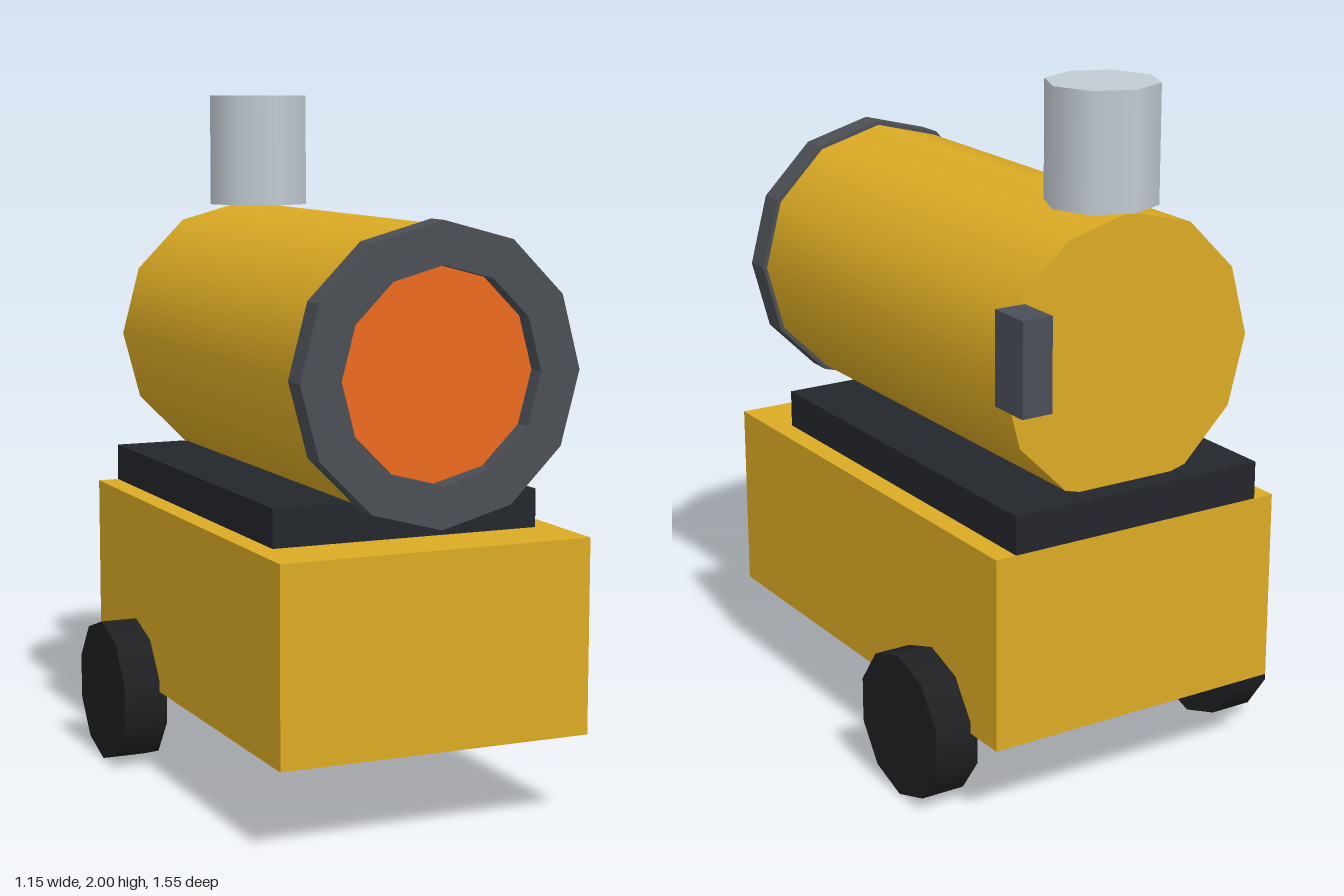
import * as THREE from 'three';

const paint = (color, flatShading = false) => new THREE.MeshStandardMaterial({ color, flatShading });

export function createModel() {
  const model = new THREE.Group();
  const yellow = paint(0xdcab24);
  const rubber = paint(0x1f2022);

  const add = (name, geometry, material, x, y, z) => {
    const mesh = new THREE.Mesh(geometry, material);
    mesh.name = name;
    mesh.position.set(x, y, z);
    model.add(mesh);
    return mesh;
  };

  // Fuel tank base and the saddle plate on top of it
  add('base', new THREE.BoxGeometry(0.926, 0.557, 1.467), yellow, 0, 0.5225, 0.0275);
  add('saddlePlate', new THREE.BoxGeometry(0.8, 0.11, 1.266), paint(0x23262b), 0, 0.856, -0.072);

  // Horizontal heater barrel
  const barrelY = 1.27;
  const barrel = new THREE.CylinderGeometry(0.4, 0.4, 1.34, 12).rotateX(Math.PI / 2);
  add('barrel', barrel, yellow, 0, barrelY, 0.03);

  // Twelve-sided nozzle ring with an open centre
  const polygon = (r) => Array.from({ length: 12 }, (_, i) => {
    const a = (i * Math.PI) / 6;
    return new THREE.Vector2(r * Math.cos(a), r * Math.sin(a));
  });
  const ringShape = new THREE.Shape(polygon(0.412));
  ringShape.holes.push(new THREE.Path(polygon(0.294).reverse()));
  const ring = new THREE.ExtrudeGeometry(ringShape, { depth: 0.078, bevelEnabled: false });
  add('nozzleRing', ring, paint(0x4b4f54, true), 0, barrelY, 0.697);

  // Glowing disc recessed inside the ring
  const glow = new THREE.CylinderGeometry(0.294, 0.294, 0.04, 12).rotateX(Math.PI / 2);
  add('glowDisc', glow, paint(0xee6b1e), 0, barrelY, 0.7);

  // Exhaust stack
  add('exhaust', new THREE.CylinderGeometry(0.158, 0.158, 0.33, 8), paint(0xc2cbd3), 0, 1.835, -0.505);

  // Control box on the back, towards the left side
  add('controlBox', new THREE.BoxGeometry(0.092, 0.264, 0.132), paint(0x4a4e57), 0.379, 1.336, -0.706);

  // Pair of ten-sided rear wheels
  const wheel = new THREE.CylinderGeometry(0.213, 0.213, 0.133, 10, 1, false, Math.PI / 2).rotateZ(Math.PI / 2);
  for (const side of [1, -1]) {
    add(side > 0 ? 'leftWheel' : 'rightWheel', wheel, rubber, side * 0.5065, 0.213, -0.37);
  }

  return model;
}
